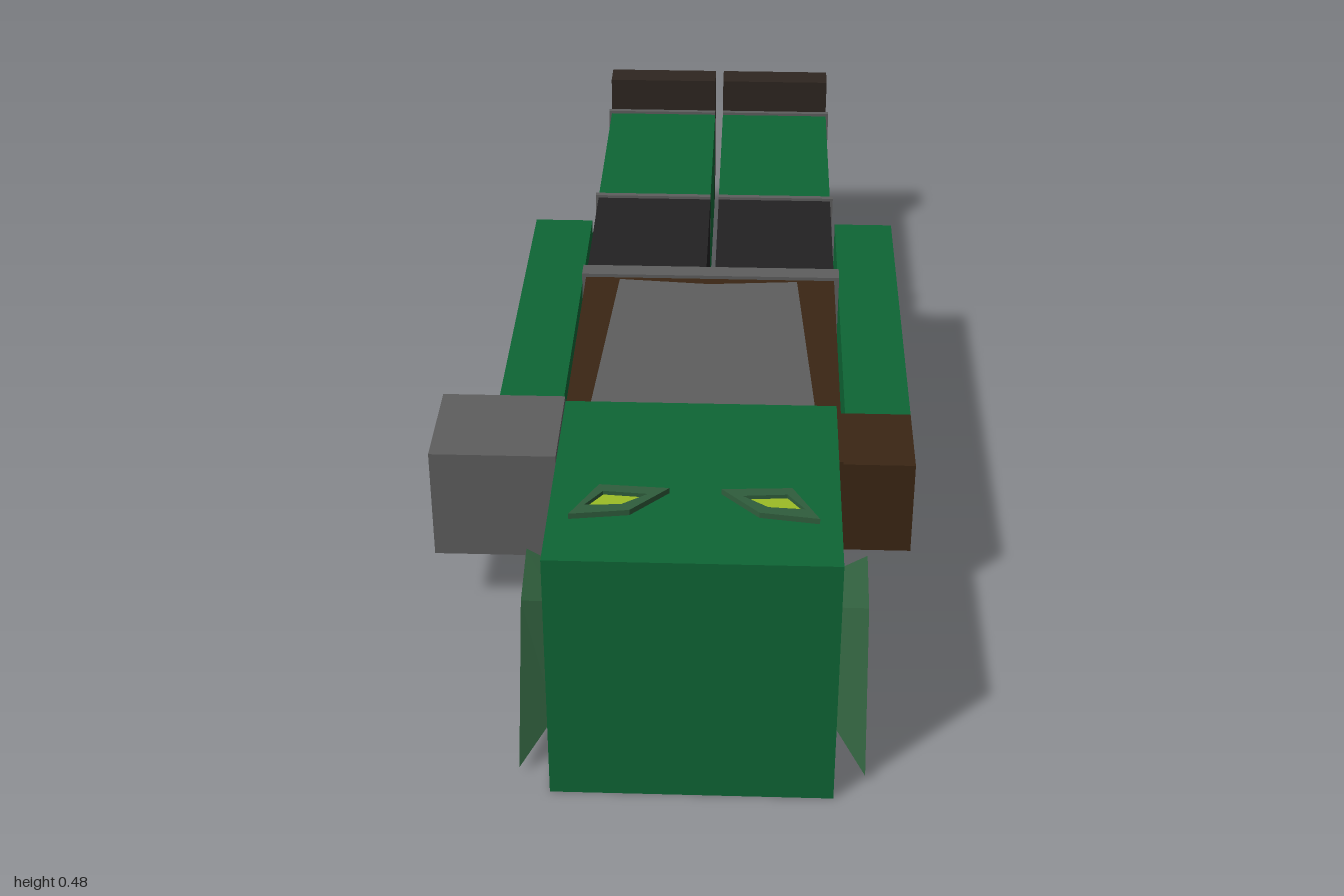
import * as THREE from 'three';

const mat = (color) => new THREE.MeshStandardMaterial({ color, flatShading: true });
const GREEN = mat(0x0e6635), BROWN = mat(0x3a2614), STEEL = mat(0x5e5e5e);
const BLACK = mat(0x222122), BOOT = mat(0x2e2620), TRIM = mat(0x2f5d3c), GLOW = mat(0x9cbc26);
const MID = 0.05; // the body's own mirror line in x

export function createModel() {
  const model = new THREE.Group();
  model.name = 'lyingFigure';

  const add = (name, geometry, material) => {
    const mesh = new THREE.Mesh(geometry, material);
    mesh.name = name;
    model.add(mesh);
    return mesh;
  };
  // box given by its extents on each axis
  const box = (name, material, [x0, x1], [y0, y1], [z0, z1]) => {
    const g = new THREE.BoxGeometry(x1 - x0, y1 - y0, z1 - z0);
    g.translate((x0 + x1) / 2, (y0 + y1) / 2, (z0 + z1) / 2);
    return add(name, g, material);
  };
  // skin through successive loops of points, optionally closing the last one
  const loft = (loops, cap) => {
    const out = [];
    const quad = (a, b, c, d) => out.push(...a, ...b, ...c, ...a, ...c, ...d);
    for (let k = 0; k + 1 < loops.length; k++) {
      const a = loops[k], b = loops[k + 1];
      a.forEach((p, i) => {
        const j = (i + 1) % a.length;
        quad(p, a[j], b[j], b[i]);
      });
    }
    if (cap) quad(...loops[loops.length - 1]);
    const g = new THREE.BufferGeometry();
    g.setAttribute('position', new THREE.Float32BufferAttribute(out, 3));
    g.computeVertexNormals();
    return g;
  };
  const mirror = (loop) => loop.map(([x, y, z]) => [2 * MID - x, y, z]).reverse();
  // flat plate from an x/z outline, hanging down from its top height
  const plate = (name, outline, top, depth) => {
    const shape = new THREE.Shape(outline.map(([x, z]) => new THREE.Vector2(x, z)));
    const g = new THREE.ExtrudeGeometry(shape, { depth, bevelEnabled: false });
    g.rotateX(Math.PI / 2).translate(0, top, 0);
    return add(name, g, STEEL);
  };

  // head, torso and belt
  box('head', GREEN, [-0.183, 0.284], [0, 0.47], [0.535, 1]);
  box('torso', BROWN, [-0.2, 0.3], [0.117, 0.355], [-0.13, 0.535]);
  box('belt', STEEL, [-0.208, 0.31], [0.107, 0.362], [-0.163, -0.125]);
  plate('chestPlate', [[-0.13, -0.1], [0.05, -0.085], [0.225, -0.1],
    [0.26, 0.49], [0.05, 0.445], [-0.16, 0.49]], 0.365, 0.015);
  plate('backPlate', [[-0.16, -0.08], [0.26, -0.08], [0.26, 0.5], [-0.16, 0.5]], 0.122, 0.017);

  // flared ears with a small recess: loops at the head, outer rim, recess rim, recess floor
  const earLoop = (x, pts) => pts.map(([z, y]) => [x, y, z]);
  const recess = [[0.835, 0.13], [0.768, 0.17], [0.777, 0.225], [0.797, 0.225]];
  const ear = [
    earLoop(0.282, [[0.9, 0.075], [0.72, 0.15], [0.745, 0.275], [0.82, 0.255]]),
    earLoop(0.337, [[0.96, 0.015], [0.698, 0.13], [0.735, 0.3], [0.84, 0.27]]),
    earLoop(0.337, recess),
    earLoop(0.318, recess),
  ];
  add('leftEar', loft(ear, true), TRIM);
  add('rightEar', loft(ear.map(mirror), true), TRIM);

  // slanted eyes: raised rims around a glowing sunken floor
  const eyeLoop = (y, pts) => pts.map(([x, z]) => [x, y, z]);
  const outer = [[0.153, 0.874], [0.249, 0.888], [0.206, 0.803], [0.092, 0.81]];
  const inner = [[0.167, 0.858], [0.226, 0.862], [0.198, 0.822], [0.126, 0.828]];
  const rim = [eyeLoop(0.468, outer), eyeLoop(0.48, outer), eyeLoop(0.48, inner), eyeLoop(0.472, inner)];
  const floor = [eyeLoop(0.473, inner)];
  add('leftEyeRim', loft(rim), TRIM);
  add('rightEyeRim', loft(rim.map(mirror)), TRIM);
  add('leftEye', loft(floor, true), GLOW);
  add('rightEye', loft(floor.map(mirror), true), GLOW);

  // arms: plain shoulder on the left, armoured shoulder on the right
  box('leftArm', GREEN, [0.31, 0.43], [0.143, 0.327], [-0.43, 0.33]);
  box('leftShoulder', BROWN, [0.3, 0.43], [0.143, 0.327], [0.33, 0.5]);
  box('rightArm', GREEN, [-0.33, -0.21], [0.143, 0.327], [-0.43, 0.33]);
  box('rightUpperArm', GREEN, [-0.33, -0.2], [0.143, 0.327], [0.33, 0.5]);
  box('rightShoulderArmour', STEEL, [-0.432, -0.206], [0.126, 0.341], [0.312, 0.515]);

  // legs, with thin bands at the knee and ankle
  for (const [side, x0, x1] of [['left', 0.06, 0.3], ['right', -0.2, 0.042]]) {
    const x = [x0, x1], y = [0.117, 0.355];
    const bandX = side === 'left' ? [x0, x1 + 0.006] : [x0 - 0.006, x1];
    box(side + 'Thigh', BLACK, x, y, [-0.485, -0.14]);
    box(side + 'KneeBand', STEEL, bandX, [0.111, 0.361], [-0.496, -0.484]);
    box(side + 'Shin', GREEN, x, y, [-0.93, -0.495]);
    box(side + 'AnkleBand', STEEL, bandX, [0.111, 0.361], [-0.94, -0.928]);
    box(side + 'Boot', BOOT, x, [0.117, 0.435], [-1, -0.939]);
  }

  return model;
}
